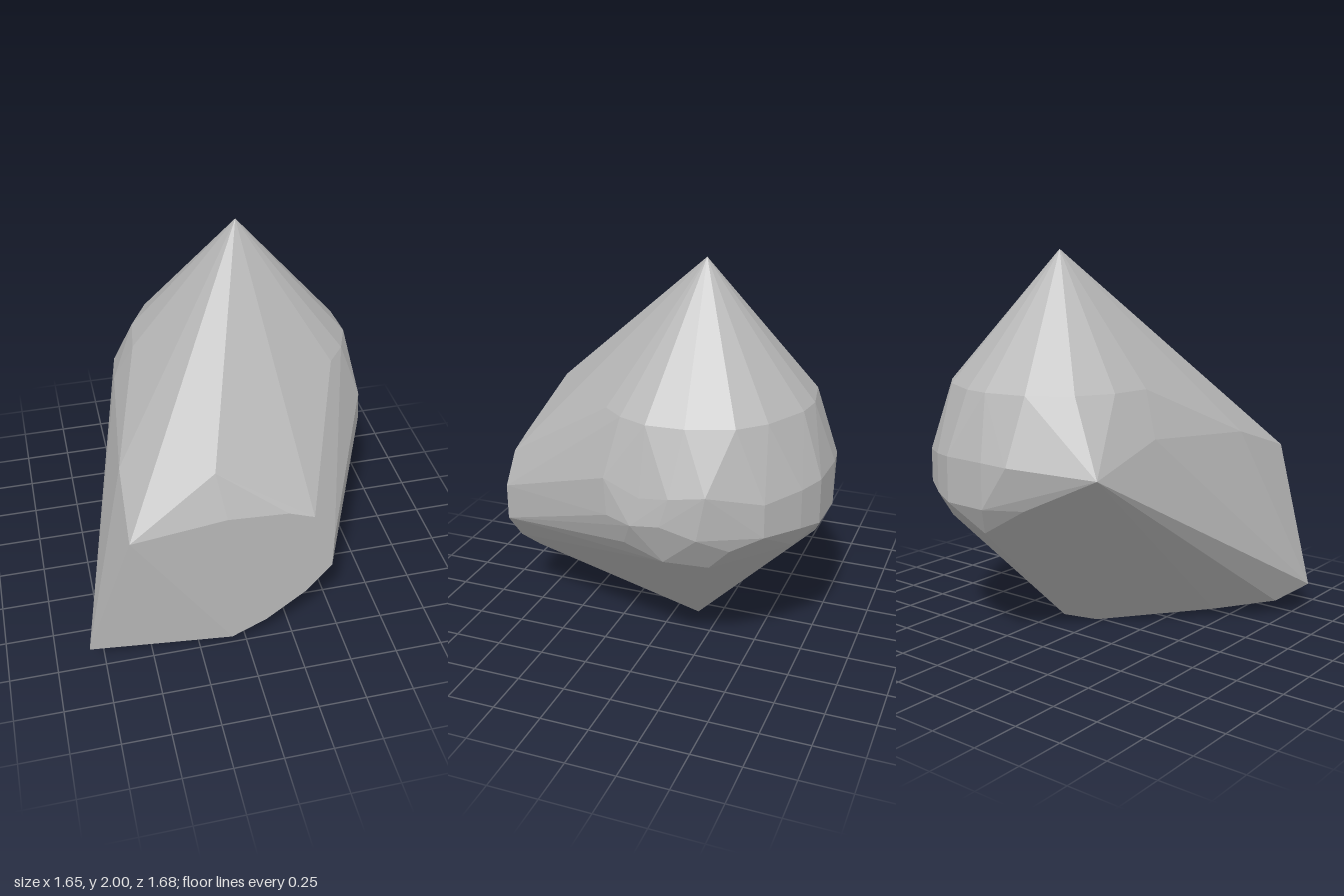
import * as THREE from 'three';
import { ConvexGeometry } from 'three/addons/geometries/ConvexGeometry.js';

const V = (x, y, z) => new THREE.Vector3(x, y, z);

export function createModel() {
  const stone = new THREE.MeshStandardMaterial({ color: 0xb8b8b8, flatShading: true });
  stone.name = 'stone grey';

  // Flat cut face at the front: [x, y] on one plane
  const frontCut = [
    [-0.6, 0.92], [-0.13, 0.98], [0.17, 0.96], [0.3, 0.91], [0.41, 0.75],
    [0.41, 0.56], [0.28, 0.4], [0.08, 0.24], [-0.1, 0.15],
  ].map(([x, y]) => V(x, y, 0.84));

  // Shoulder ring under the peak: [x, z] at one height
  const shoulder = [
    [0.56, 0.18], [0.65, 0.07], [0.71, -0.08], [0.7, -0.27], [0.62, -0.49], [0.5, -0.61],
    [0.28, -0.72], [0.14, -0.74], [-0.08, -0.7], [-0.27, -0.56], [-0.37, -0.38], [-0.4, -0.17],
  ].map(([x, z]) => V(x, 1.33, z));

  // Widest ring around the rounded back: [x, y, z]
  const waist = [
    [0.75, 1.05, 0.12], [0.8, 1.0, -0.08], [0.81, 1.02, -0.23], [0.78, 1.04, -0.4],
    [0.68, 1.0, -0.55], [0.63, 0.98, -0.64], [0.45, 1.0, -0.77], [0.32, 1.01, -0.83],
    [0.08, 1.01, -0.84], [-0.06, 1.0, -0.82], [-0.45, 0.955, -0.62],
  ].map((p) => V(...p));

  // Ring just below the waist
  const belly = [
    [0.77, 0.87, 0.1], [0.82, 0.86, -0.04], [0.825, 0.88, -0.19], [0.79, 0.82, -0.36],
    [0.69, 0.74, -0.49], [0.63, 0.81, -0.64], [0.45, 0.8, -0.77], [0.32, 0.78, -0.83],
    [0.08, 0.78, -0.84], [-0.1, 0.78, -0.74],
  ].map((p) => V(...p));

  // Lower ring where the body starts tapering to its foot
  const taper = [
    [0.75, 0.73, 0.02], [0.75, 0.66, -0.18], [0.66, 0.62, -0.38],
    [0.52, 0.69, -0.6], [0.4, 0.68, -0.72], [0.13, 0.64, -0.77],
  ].map((p) => V(...p));

  // Peak, side ridge and foot
  const ridges = [
    [0.14, 2, -0.18], [-0.17, 1.2, 0.75], [-0.58, 1.05, 0.44], [-0.5, 1.1, -0.23],
    [-0.83, 0.17, 0.78], [-0.7, 0.08, 0.65], [-0.44, 0.04, 0.42], [0.03, 0, -0.02], [0.15, 0.04, -0.15],
  ].map((p) => V(...p));

  const rock = new THREE.Mesh(
    new ConvexGeometry([...frontCut, ...shoulder, ...waist, ...belly, ...taper, ...ridges]), stone);
  rock.name = 'facetedRock';

  const model = new THREE.Group();
  model.name = 'rock';
  model.add(rock);
  return model;
}
